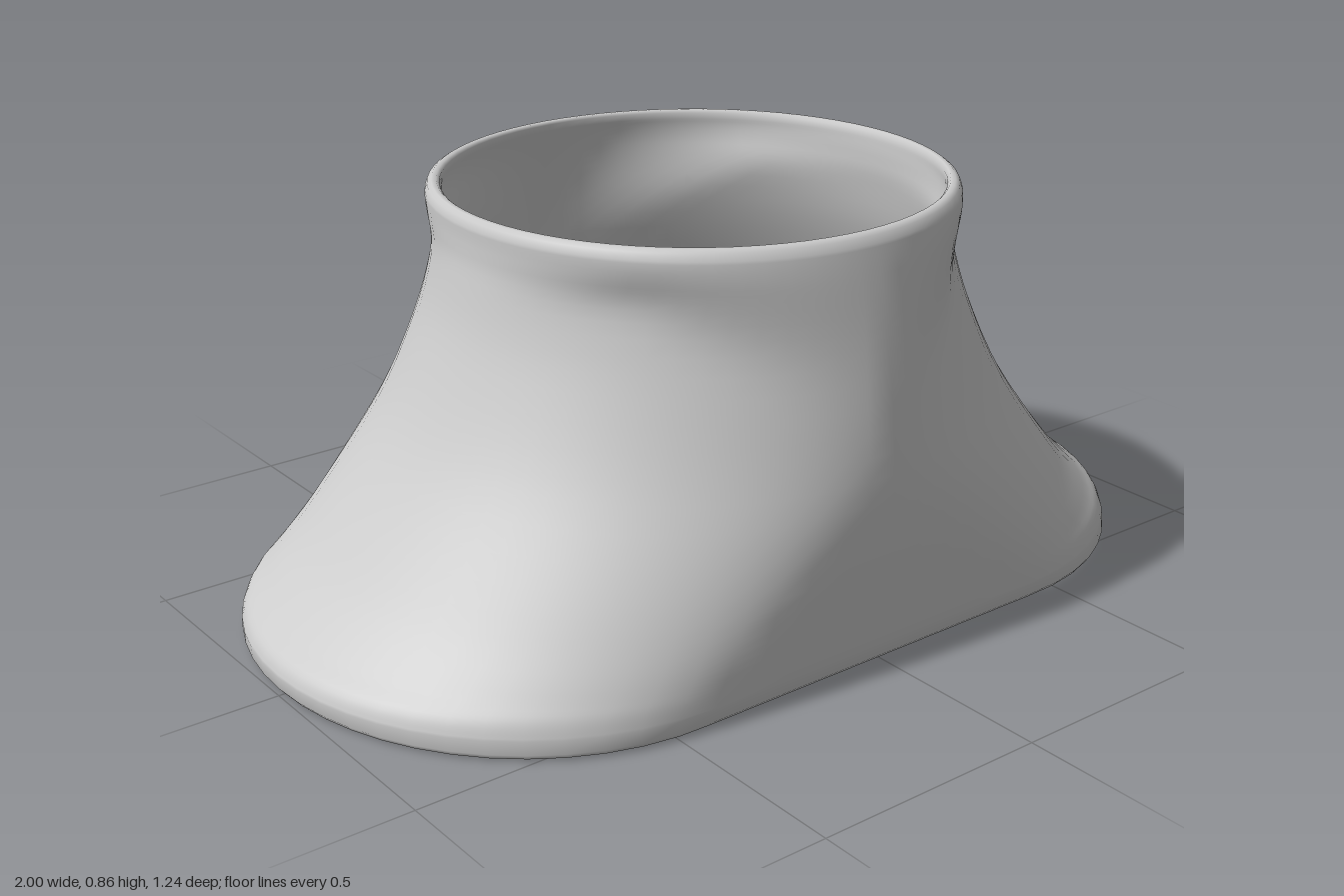
import * as THREE from 'three';

const AROUND = 72;
const WALL = 0.03;

// Half width of the flared side against height
const flare = new THREE.SplineCurve([
  [1.0, 0.04], [0.985, 0.07], [0.93, 0.11], [0.83, 0.205], [0.68, 0.4],
  [0.585, 0.6], [0.548, 0.74], [0.541, 0.8], [0.541, 0.84],
].map(([x, y]) => new THREE.Vector2(x, y)));

// Half depth: a gentle barrel curve
const halfDepth = (y) => 0.62 - (y > 0.3 ? 0.25 : 0.17) * (y - 0.3) ** 2;

// Depth of the section at x: a stadium low down, a pointed lens higher up,
// easing into the round collar (earliest at the front and back seams)
function sectionDepth(x, y, X, Z) {
  const c = 0.45 * (1 - y / 0.4);
  const rx = X - c;
  const rz = c < 0 ? Z / Math.sqrt(1 - (c / rx) ** 2) : Z;
  const lens = x < c ? Z : rz * Math.sqrt(Math.max(0, 1 - ((x - c) / rx) ** 2));
  const round = Z * Math.sqrt(Math.max(0, 1 - (x / X) ** 2));
  const start = 0.45 + 0.27 * Math.min(1, x / 0.4);
  return THREE.MathUtils.lerp(lens, round, THREE.MathUtils.smoothstep(y, start, 0.835));
}

// One closed ring of points, inset from the outer surface
function ring(X, y, inset) {
  const w = X - inset, d = halfDepth(y) - inset;
  const points = [];
  for (let i = 0; i < AROUND; i++) {
    const u = (i / AROUND) * Math.PI * 2;
    const x = w * Math.sin(u);
    const side = Math.abs(Math.cos(u)) < 1e-6 ? 0 : Math.sign(Math.cos(u));
    points.push(x, y, side * sectionDepth(Math.abs(x), y, w, d));
  }
  return points;
}

export function createModel() {
  const group = new THREE.Group();
  group.name = 'flaredCollar';

  // Outer wall upward, rounded rim, inner wall downward, rounded foot
  const wall = flare.getPoints(36);
  const rings = [
    [1, 0, 0.022], [1, 0.004, 0.01], [1, 0.014, 0.002],
    ...wall.map((p) => [p.x, p.y, 0]),
    [0.541, 0.854, 0.004], [0.541, 0.86, 0.012], [0.541, 0.86, 0.022], [0.541, 0.854, 0.029],
    ...wall.slice().reverse().map((p) => [p.x, p.y, WALL]),
    [1, 0.014, WALL], [1, 0.004, 0.028],
  ];

  const positions = rings.flatMap((r) => ring(...r));
  const index = [];
  for (let j = 0; j < rings.length; j++) {
    const next = (j + 1) % rings.length;
    for (let i = 0; i < AROUND; i++) {
      const k = (i + 1) % AROUND;
      const a = j * AROUND + i, b = j * AROUND + k;
      const c = next * AROUND + k, d = next * AROUND + i;
      index.push(a, b, c, a, c, d);
    }
  }

  const geometry = new THREE.BufferGeometry();
  geometry.setAttribute('position', new THREE.Float32BufferAttribute(positions, 3));
  geometry.setIndex(index);
  geometry.computeVertexNormals();

  const shell = new THREE.Mesh(geometry, new THREE.MeshStandardMaterial({ color: 0xcccccc }));
  shell.name = 'shell';
  group.add(shell);
  return group;
}
